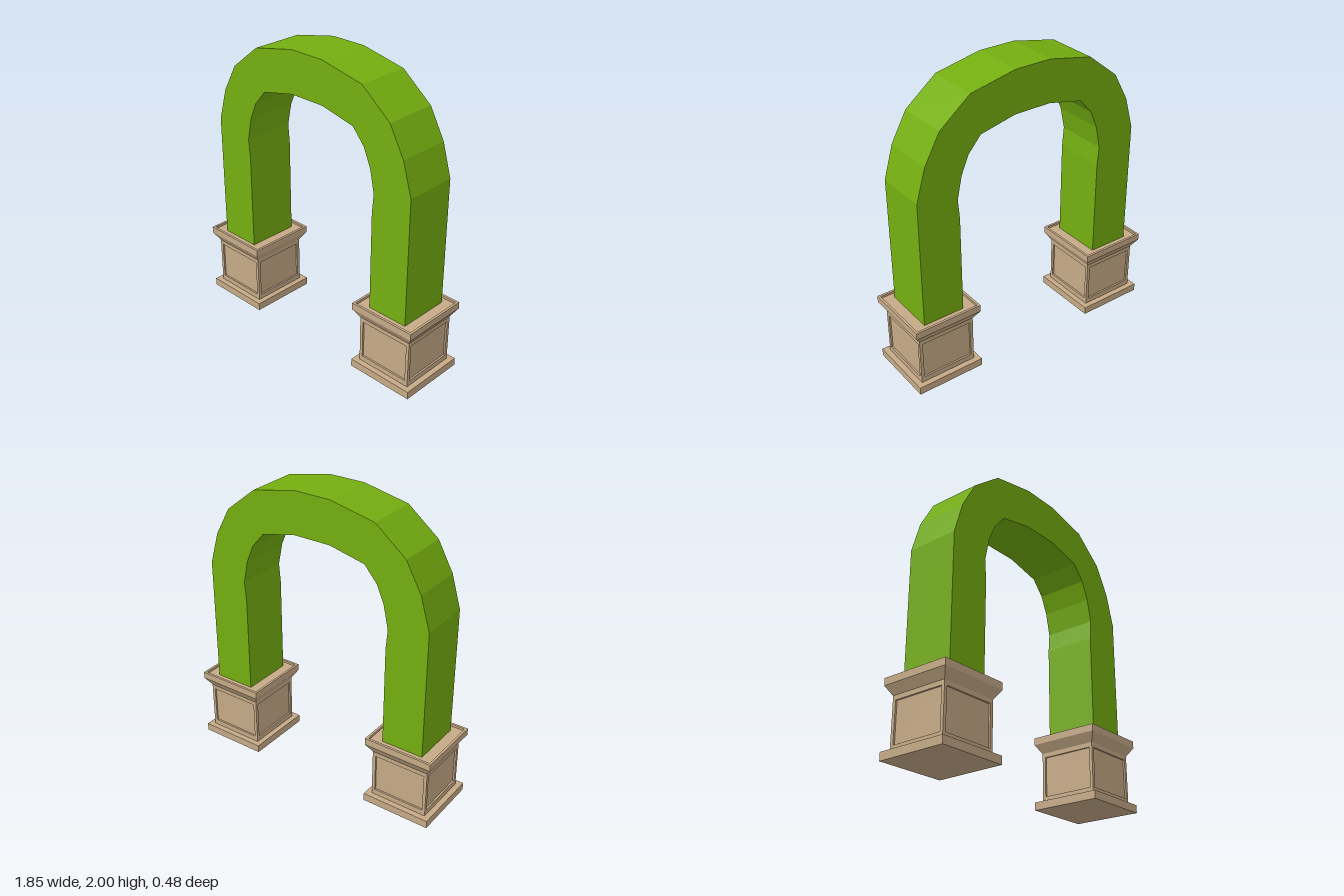
import * as THREE from 'three';

const hedgeGreen = new THREE.MeshStandardMaterial({ color: 0x74ae10, flatShading: true });
hedgeGreen.name = 'hedge green';
const sandstone = new THREE.MeshStandardMaterial({ color: 0xc6aa87, flatShading: true });
sandstone.name = 'sandstone';

function addMesh(parent, name, geometry, material) {
  const mesh = new THREE.Mesh(geometry, material);
  mesh.name = name;
  parent.add(mesh);
  return mesh;
}

// Square moulding swept from a profile of [half width, height]
function squareLathe(profile) {
  const points = profile.map(([half, y]) => new THREE.Vector2(half * Math.SQRT2, y));
  const geometry = new THREE.LatheGeometry(points, 4, Math.PI / 4).toNonIndexed();
  geometry.computeVertexNormals();
  return geometry;
}

// Thin plate with a rectangular opening, which leaves a sunken panel behind it
function panelFrame(halfWidth, bottom, top, depth) {
  const rect = (target, hw, y0, y1) =>
    target.moveTo(-hw, y0).lineTo(hw, y0).lineTo(hw, y1).lineTo(-hw, y1).closePath();
  const shape = rect(new THREE.Shape(), halfWidth, bottom, top);
  shape.holes.push(rect(new THREE.Path(), 0.178, 0.09, 0.355));
  return new THREE.ExtrudeGeometry(shape, { depth, bevelEnabled: false });
}

function createPlinth() {
  const plinth = new THREE.Group();
  const half = 0.2, recess = 0.012, bottom = 0.05, top = 0.387;
  const core = half - recess;

  addMesh(plinth, 'base', squareLathe([[0, 0], [0.238, 0], [0.238, 0.053], [0, 0.053]]), sandstone);

  // Body core and the frames on its four sides
  const body = addMesh(plinth, 'bodyPanels', new THREE.BoxGeometry(core * 2, top - bottom, core * 2), sandstone);
  body.position.y = (top + bottom) / 2;
  for (let i = 0; i < 4; i++) {
    const side = new THREE.Group();
    side.name = 'panelSide';
    side.rotation.y = i * Math.PI / 2;
    const frame = addMesh(side, 'panelFrame', panelFrame(i % 2 ? core : half, bottom, top, recess), sandstone);
    frame.position.z = core;
    plinth.add(side);
  }

  // Flared cornice with a shallow tray on top
  addMesh(plinth, 'cornice', squareLathe([
    [0, 0.385], [half, 0.385], [0.238, 0.445], [0.238, 0.492],
    [0.222, 0.492], [0.222, 0.476], [0, 0.476],
  ]), sandstone);
  return plinth;
}

function createHedgeArch() {
  // Right half of the outline, from the foot up to the crown
  const outer = [[0.83, 0.47], [0.83, 1.35], [0.765, 1.57], [0.658, 1.763], [0.443, 1.935], [0.127, 2]];
  const inner = [[0.541, 0.47], [0.541, 1.15], [0.552, 1.28], [0.519, 1.435], [0.467, 1.557], [0.378, 1.66], [0.13, 1.715]];
  const mirror = (points) => points.map(([x, y]) => [-x, y]).reverse();
  const outline = [...outer, ...mirror(outer), ...mirror(inner).reverse(), ...inner.slice().reverse()];
  const shape = new THREE.Shape(outline.map(([x, y]) => new THREE.Vector2(x, y)));
  const geometry = new THREE.ExtrudeGeometry(shape, { depth: 0.36, bevelEnabled: false });
  return geometry.translate(0, 0, -0.18);
}

export function createModel() {
  const model = new THREE.Group();
  model.name = 'hedgeArch';
  addMesh(model, 'hedge', createHedgeArch(), hedgeGreen);
  for (const side of [-1, 1]) {
    const plinth = createPlinth();
    plinth.name = side > 0 ? 'leftPlinth' : 'rightPlinth';
    plinth.position.x = side * 0.685;
    model.add(plinth);
  }
  return model;
}
